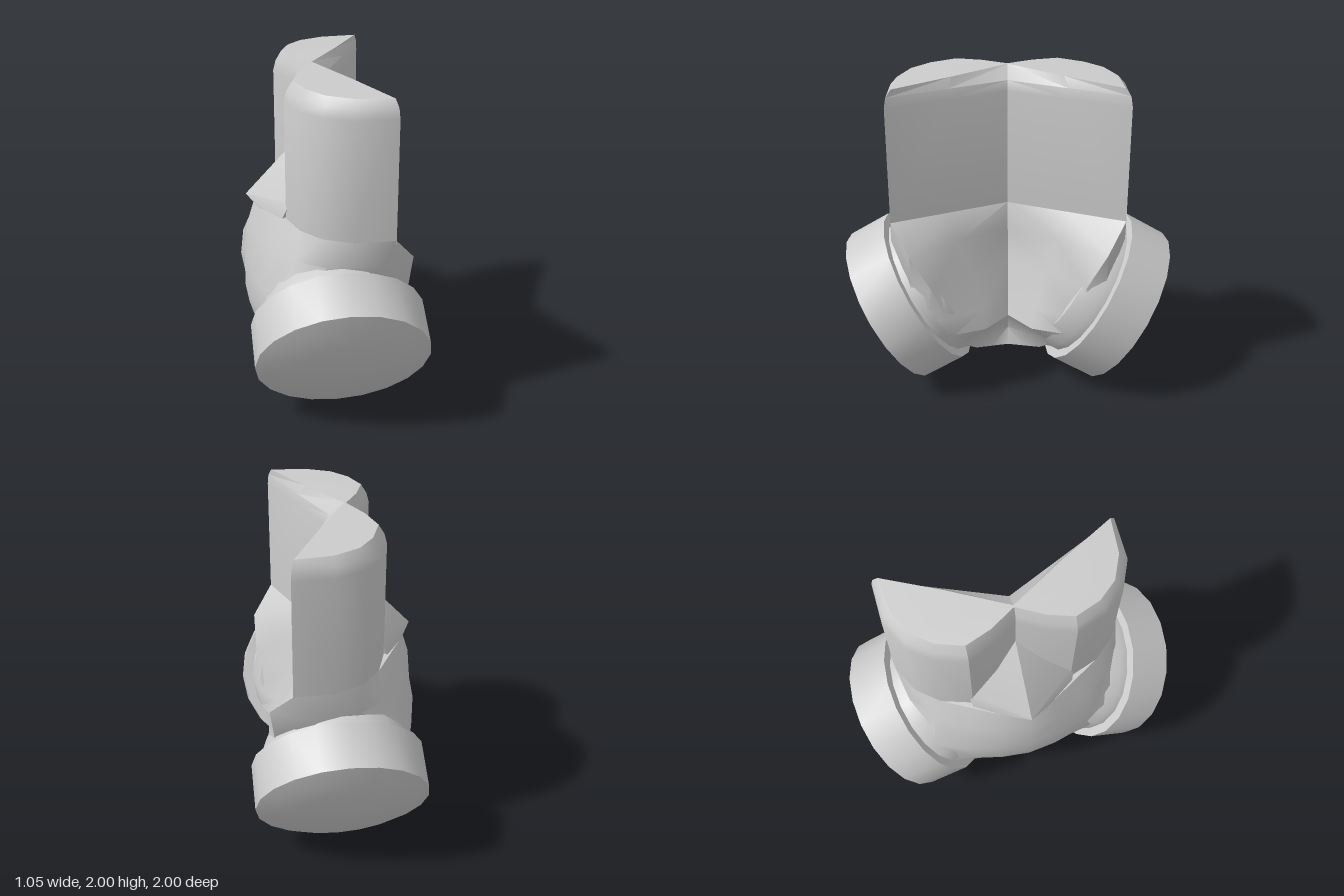
import * as THREE from 'three';
import { toCreasedNormals } from 'three/addons/utils/BufferGeometryUtils.js';
import { ConvexGeometry } from 'three/addons/geometries/ConvexGeometry.js';

const material = new THREE.MeshStandardMaterial({ color: 0xcccccc });

function addMesh(parent, name, geometry, crease = 0.55) {
  const mesh = new THREE.Mesh(toCreasedNormals(geometry, crease), material);
  mesh.name = name;
  parent.add(mesh);
  return mesh;
}

// Half outline [x, z] from the +x waist to the -x waist, mirrored to a full loop
const mirrorLoop = (half) =>
  [...half, ...half.slice(1, -1).reverse().map(([x, z]) => [x, -z])];

// Skins outlines stacked in y (bottom to top) and caps both ends.
// slope lowers the points away from z = 0.
function loft(levels) {
  const pos = [], index = [];
  const rings = levels.map(({ y, half, slope = 0 }) =>
    mirrorLoop(half).map(([x, z]) => [x, y - slope * Math.abs(z), z]));
  const n = rings[0].length;
  rings.forEach((ring) => ring.forEach((p) => pos.push(...p)));
  for (let r = 0; r < rings.length - 1; r++) {
    for (let i = 0; i < n; i++) {
      const j = (i + 1) % n;
      const a = r * n + i, b = r * n + j, c = a + n, d = b + n;
      // Mirror the quad diagonals with the outline
      if (i < n / 2) index.push(a, c, b, b, c, d);
      else index.push(a, d, b, a, c, d);
    }
  }
  for (const [r, up] of [[0, false], [rings.length - 1, true]]) {
    const flat = rings[r].map(([x, , z]) => new THREE.Vector2(x, -z));
    for (const [a, b, c] of THREE.ShapeUtils.triangulateShape(flat, [])) {
      const ccw = THREE.ShapeUtils.area([flat[a], flat[b], flat[c]]) > 0;
      const o = r * n;
      if (ccw === up) index.push(o + a, o + b, o + c);
      else index.push(o + a, o + c, o + b);
    }
  }
  const g = new THREE.BufferGeometry();
  g.setAttribute('position', new THREE.Float32BufferAttribute(pos, 3));
  g.setIndex(index);
  return g;
}

export function createModel() {
  const model = new THREE.Group();
  model.name = 'twinFilterUnit';

  // Two-lobed column with a bevelled top
  const lobe = [[0.01, 0], [0.147, 0.345], [0.285, 0.69], [0.05, 0.69], [-0.12, 0.61],
    [-0.23, 0.48], [-0.29, 0.3], [-0.22, 0.13], [-0.14, 0]];
  const bevel = [[-0.01, 0], [0.135, 0.34], [0.28, 0.68], [0.05, 0.67], [-0.11, 0.595],
    [-0.215, 0.47], [-0.275, 0.3], [-0.21, 0.13], [-0.135, 0]];
  const lid = [[-0.095, 0], [0.09, 0.32], [0.265, 0.65], [0.05, 0.63], [-0.095, 0.56],
    [-0.185, 0.45], [-0.24, 0.3], [-0.19, 0.15], [-0.105, 0]];
  addMesh(model, 'column', loft([
    { y: 1.14, half: lobe },
    { y: 1.87, half: lobe },
    { y: 1.93, half: bevel },
    { y: 2.0, half: lid, slope: 0.04 },
  ]));

  // Body: notched on +x like the column, the notch fading out towards the bottom
  addMesh(model, 'body', loft([
    { y: 0.18, half: [[0.08, 0], [0.1, 0.1], [0.12, 0.2], [0.1, 0.25], [0, 0.26],
      [-0.1, 0.25], [-0.14, 0.2], [-0.18, 0.1], [-0.2, 0]] },
    { y: 0.29, half: [[0.05, 0], [0.14, 0.15], [0.24, 0.27], [0.3, 0.32], [0, 0.33],
      [-0.33, 0.33], [-0.36, 0.25], [-0.4, 0.14], [-0.42, 0]] },
    { y: 0.46, half: [[0.18, 0], [0.34, 0.14], [0.4, 0.32], [0.42, 0.42], [0, 0.43],
      [-0.43, 0.42], [-0.45, 0.3], [-0.48, 0.18], [-0.5, 0]] },
    { y: 0.58, half: [[0.12, 0], [0.31, 0.16], [0.42, 0.37], [0.44, 0.49], [0, 0.5],
      [-0.45, 0.49], [-0.46, 0.35], [-0.5, 0.2], [-0.52, 0]] },
    { y: 0.78, half: [[0.05, 0], [0.21, 0.23], [0.41, 0.46], [0.38, 0.58], [0, 0.61],
      [-0.38, 0.58], [-0.45, 0.4], [-0.5, 0.2], [-0.52, 0]] },
    { y: 1.0, half: [[0.03, 0], [0.21, 0.29], [0.41, 0.58], [0.2, 0.7], [-0.1, 0.66],
      [-0.27, 0.54], [-0.38, 0.37], [-0.46, 0.18], [-0.5, 0]] },
    { y: 1.16, half: [...lobe.slice(0, 6), [-0.33, 0.3], [-0.42, 0.14], [-0.45, 0]] },
  ]), 0.7);

  // Pointed ridge between the lobes on the -x side
  const ridge = [[-0.11, 1.62, 0], [-0.5, 1.2, 0], [-0.45, 1.16, 0], [0, 1.05, 0]];
  for (const s of [1, -1]) {
    ridge.push([-0.27, 1.26, 0.32 * s], [-0.42, 1.15, 0.14 * s], [-0.33, 1.12, 0.3 * s]);
  }
  addMesh(model, 'ridge', new ConvexGeometry(ridge.map((p) => new THREE.Vector3(...p))));

  // Tilted filter drums with domed faces, front and back, slightly offset sideways
  const drum = [[0, 0], [0.47, 0], [0.512, 0], [0.512, 0.277], [0.42, 0.315],
    [0.3, 0.348], [0.15, 0.37], [0, 0.377]];
  const neck = [[0, -0.16], [0.41, -0.16], [0.455, -0.05], [0.455, 0.02]];
  const lathe = (pts) =>
    new THREE.LatheGeometry(pts.map(([r, y]) => new THREE.Vector2(r, y)), 20);
  for (const [name, turn, x] of [['frontFilter', 0, -0.015], ['backFilter', Math.PI, 0.01]]) {
    const side = new THREE.Group();
    side.name = name;
    side.position.x = x;
    side.rotation.y = turn;
    const tilt = new THREE.Group();
    tilt.name = name + 'Tilt';
    tilt.position.set(0, 0.58, 0.5);
    tilt.rotation.x = 2.106;
    addMesh(tilt, name + 'Drum', lathe(drum));
    addMesh(tilt, name + 'Neck', lathe(neck));
    side.add(tilt);
    model.add(side);
  }
  return model;
}
